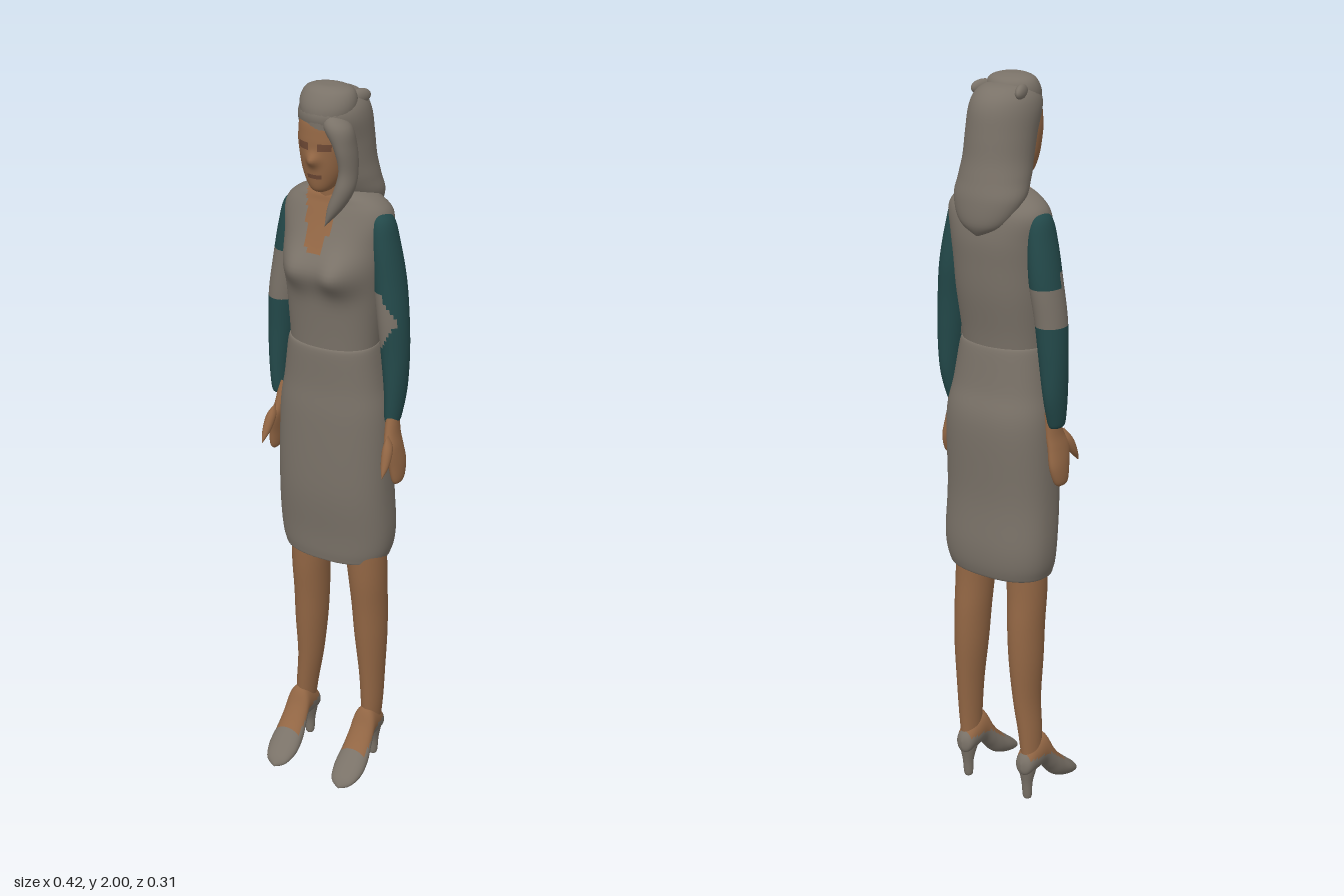
import * as THREE from 'three';

const mat = (name, color) => {
  const m = new THREE.MeshStandardMaterial({ color });
  m.name = name;
  return m;
};

// Smooth interpolation through rows of numbers
function sample(rows, u) {
  const n = rows.length - 1;
  const i = Math.min(Math.floor(u * n), n - 1);
  const t = u * n - i;
  const at = (k) => rows[Math.max(0, Math.min(n, k))];
  return rows[0].map((_, c) => {
    const [a, b, d, e] = [at(i - 1)[c], at(i)[c], at(i + 1)[c], at(i + 2)[c]];
    return 0.5 * (2 * b + (d - a) * t + (2 * a - 5 * b + 4 * d - e) * t * t + (3 * b - a - 3 * d + e) * t * t * t);
  });
}

// Loft of rounded rings. Rows: [position on axis, centre x, half width, low, high]
// low/high bound z when the axis is y, and y when the axis is z.
function loft(name, rows, materials, { axis = 'y', segs = 32, steps = 6, power = 1, pick, deform } = {}) {
  const rings = (rows.length - 1) * steps;
  const pos = [];
  const pts = [];
  const pw = (v) => Math.sign(v) * Math.abs(v) ** power;
  for (let i = 0; i <= rings; i++) {
    const [t, cx, rx, lo, hi] = sample(rows, i / rings);
    for (let j = 0; j < segs; j++) {
      const a = (j / segs) * Math.PI * 2;
      const x = cx + Math.max(rx, 0) * pw(Math.cos(a));
      const s = pw(Math.sin(a)) * (hi - lo) / 2;
      const mid = (lo + hi) / 2;
      const p = axis === 'y' ? new THREE.Vector3(x, t, mid + s) : new THREE.Vector3(x, mid - s, t);
      if (deform) deform(p);
      pts.push(p);
      pos.push(p.x, p.y, p.z);
    }
  }
  const buckets = materials.map(() => []);
  for (let i = 0; i < rings; i++) {
    for (let j = 0; j < segs; j++) {
      const k = (j + 1) % segs;
      const [a, b, c, d] = [i * segs + j, i * segs + k, (i + 1) * segs + j, (i + 1) * segs + k];
      const mid = pts[a].clone().add(pts[d]).multiplyScalar(0.5);
      buckets[pick ? pick(mid) : 0].push(a, c, b, b, c, d);
    }
  }
  const g = new THREE.BufferGeometry();
  g.setAttribute('position', new THREE.Float32BufferAttribute(pos, 3));
  g.setIndex(buckets.flat());
  let start = 0;
  buckets.forEach((b, i) => { g.addGroup(start, b.length, i); start += b.length; });
  g.computeVertexNormals();
  const mesh = new THREE.Mesh(g, materials);
  mesh.name = name;
  return mesh;
}

const bump = (p, x, y, r) => Math.exp(-((p.x - x) ** 2 + (p.y - y) ** 2) / (r * r));

export function createModel() {
  const cloth = mat('warm grey', 0x7a7268);
  const skin = mat('skin', 0x926644);
  const teal = mat('dark teal', 0x23494a);
  const shade = mat('face detail', 0x6d4834);
  const model = new THREE.Group();
  model.name = 'woman';
  const add = (...args) => model.add(loft(...args));

  // Bodice with bust and open V neckline
  add('bodice', [
    [1.28, 0, 0.118, -0.1, 0.068], [1.35, 0, 0.122, -0.108, 0.072], [1.45, 0, 0.13, -0.125, 0.08],
    [1.53, 0, 0.135, -0.132, 0.085], [1.6, 0, 0.14, -0.135, 0.07], [1.66, 0, 0.147, -0.125, 0.045],
    [1.695, 0, 0.125, -0.105, 0.03], [1.72, 0, 0.075, -0.09, 0.018], [1.735, 0, 0, -0.04, -0.03],
  ], [cloth, skin], {
    segs: 80, power: 0.9,
    pick: (p) => (p.z > -0.02 && p.y > 1.58 && Math.abs(p.x + 0.01) < 0.02 + (p.y - 1.58) * 0.25 ? 1 : 0),
    deform: (p) => {
      if (p.z > 0) p.z += 0.034 * bump(p, -0.06, 1.53, 0.052) + 0.046 * bump(p, 0.06, 1.53, 0.052);
    },
  });

  // Pencil skirt with rolled hem
  add('skirt', [
    [0.7, 0, 0.02, -0.05, 0], [0.675, 0, 0.13, -0.115, 0.05], [0.69, 0, 0.152, -0.132, 0.06],
    [0.76, 0, 0.163, -0.14, 0.066], [0.9, 0, 0.16, -0.134, 0.08], [1.1, 0, 0.156, -0.142, 0.08],
    [1.2, 0, 0.14, -0.122, 0.074], [1.3, 0, 0.125, -0.108, 0.074], [1.315, 0, 0.118, -0.1, 0.066],
  ], [cloth], { segs: 48, power: 0.85 });

  add('neck', [
    [1.62, -0.005, 0.05, -0.08, 0.03], [1.7, -0.005, 0.045, -0.08, 0.025], [1.8, -0.005, 0.045, -0.08, 0.03],
  ], [skin]);

  // Face with nose, eyes and mouth
  add('face', [
    [1.728, -0.005, 0, 0.035, 0.045], [1.742, -0.005, 0.028, 0, 0.073], [1.78, -0.005, 0.05, -0.02, 0.083],
    [1.83, -0.005, 0.06, -0.02, 0.088], [1.88, -0.005, 0.064, -0.02, 0.088], [1.93, -0.005, 0.055, -0.02, 0.075],
    [1.95, -0.005, 0, 0, 0.02],
  ], [skin, shade], {
    segs: 64, steps: 8,
    pick: (p) => {
      const x = Math.abs(p.x + 0.005);
      const eye = p.y > 1.848 && p.y < 1.866 && x > 0.014 && x < 0.044;
      const mouth = p.y > 1.773 && p.y < 1.786 && x < 0.02;
      return p.z > 0.04 && (eye || mouth) ? 1 : 0;
    },
    deform: (p) => { if (p.z > 0.04) p.z += 0.018 * bump(p, -0.005, 1.825, 0.016); },
  });

  // Long hair, crown roll with two back points, and front lock
  add('hair', [
    [1.605, 0, 0, -0.13, -0.11], [1.64, 0, 0.065, -0.152, -0.07], [1.7, 0, 0.1, -0.152, -0.015],
    [1.75, 0, 0.098, -0.142, 0.02], [1.8, 0, 0.092, -0.132, 0.04], [1.86, 0, 0.09, -0.126, 0.06],
    [1.92, 0, 0.088, -0.118, 0.086], [1.955, 0, 0.076, -0.1, 0.078], [1.975, 0, 0.05, -0.07, 0.05],
    [1.982, 0, 0, -0.02, -0.01],
  ], [cloth]);
  add('crownRoll', [
    [1.9, 0, 0.06, -0.04, 0.085], [1.95, 0, 0.073, -0.05, 0.084], [1.985, 0, 0.064, -0.04, 0.066],
    [1.998, 0, 0.035, -0.01, 0.045], [2.0, 0, 0, 0.015, 0.025],
  ], [cloth]);
  for (const s of [-1, 1]) {
    const point = new THREE.Mesh(new THREE.SphereGeometry(1, 16, 12), cloth);
    point.scale.set(0.014, 0.02, 0.035);
    point.position.set(s * 0.06, 1.962, -0.03);
    point.rotation.y = -s * 0.35;
    point.name = 'hairPoint';
    model.add(point);
  }
  add('frontLock', [
    [1.65, 0.018, 0, 0.066, 0.072], [1.7, 0.042, 0.02, 0.035, 0.08], [1.75, 0.063, 0.025, 0.02, 0.08],
    [1.8, 0.07, 0.022, 0.01, 0.076], [1.86, 0.064, 0.026, 0.01, 0.088], [1.915, 0.045, 0.034, 0.02, 0.092],
    [1.95, 0.025, 0, 0.04, 0.06],
  ], [cloth]);

  for (const s of [-1, 1]) {
    const left = s > 0;
    const side = left ? 'left' : 'right';
    // Place rows on one side, with small pose offsets
    const place = (rows, dx, dz) => rows.map(([t, x, r, lo, hi]) => [t, s * (x + dx), r, lo + dz, hi + dz]);
    const dz = left ? 0 : -0.02;
    const hx = left ? 0 : -0.02;

    // Sleeve with a grey patch at the elbow
    add(side + 'Sleeve', place([
      [1.11, 0.174, 0.014, -0.03, 0.012], [1.125, 0.175, 0.021, -0.038, 0.018], [1.2, 0.177, 0.028, -0.058, 0.02],
      [1.3, 0.173, 0.036, -0.065, 0.02], [1.4, 0.165, 0.04, -0.07, 0.024], [1.5, 0.152, 0.04, -0.078, 0.022],
      [1.6, 0.139, 0.034, -0.072, 0.02], [1.66, 0.13, 0.026, -0.06, 0.01], [1.685, 0.12, 0, -0.03, -0.02],
    ], 0, dz), [teal, cloth], {
      steps: 8,
      pick: (p) => (left
        ? p.z > -0.03 && p.y > 1.29 && p.y < 1.47 && p.x < 0.195 - Math.abs(p.y - 1.4) * 0.6
        : p.y > 1.39 && p.y < (p.z > -0.04 ? 1.53 : 1.49)) ? 1 : 0,
    });
    add(side + 'Hand', place([
      [0.942, 0.2, 0, 0, 0.015], [0.955, 0.2, 0.013, -0.02, 0.03], [1.0, 0.196, 0.018, -0.035, 0.04],
      [1.05, 0.188, 0.018, -0.032, 0.05], [1.09, 0.18, 0.017, -0.03, 0.033], [1.15, 0.176, 0.016, -0.03, 0.012],
    ], hx, dz), [skin]);
    add(side + 'Thumb', place([
      [0.99, 0.196, 0, 0.086, 0.09], [1.02, 0.194, 0.011, 0.055, 0.08], [1.06, 0.19, 0.013, 0.03, 0.063],
      [1.09, 0.184, 0, 0.03, 0.04],
    ], hx, dz), [skin], { segs: 16 });

    // Leg
    const lx = left ? 0 : -0.02;
    add(side + 'Leg', [
      [0.12, 0.106, 0.024, -0.072, 0.0], [0.2, 0.109 + lx * 0.5, 0.029, -0.075, 0.004],
      [0.3, 0.108 + lx, 0.034, -0.082, 0.01], [0.42, 0.104 + lx, 0.043, -0.09, 0.02],
      [0.52, 0.101 + lx, 0.047, -0.09, 0.027], [0.62, 0.098 + lx, 0.052, -0.083, 0.036],
      [0.75, 0.09 + lx, 0.06, -0.08, 0.04],
    ].map(([t, x, ...r]) => [t, s * x, ...r]), [skin]);

    // Court shoe with bare instep, and its heel
    add(side + 'Shoe', [
      [-0.086, 0.104, 0, 0.1, 0.115], [-0.075, 0.104, 0.024, 0.08, 0.14], [-0.04, 0.105, 0.031, 0.08, 0.175],
      [0, 0.106, 0.034, 0.082, 0.188], [0.03, 0.106, 0.038, 0.055, 0.14], [0.06, 0.106, 0.043, 0.022, 0.102],
      [0.1, 0.106, 0.044, 0.008, 0.066], [0.138, 0.105, 0.03, 0.004, 0.034], [0.154, 0.104, 0, 0.006, 0.012],
    ].map(([t, x, ...r]) => [t, s * x, ...r]), [cloth, skin], {
      axis: 'z',
      pick: (p) => (p.z > -0.07 && p.z < 0.07 && p.y > 0.13 - Math.max(0, p.z) * 0.75 ? 1 : 0),
    });
    add(side + 'Heel', [
      [0, s * 0.104, 0, -0.056, -0.052], [0.004, s * 0.104, 0.012, -0.066, -0.042],
      [0.05, s * 0.104, 0.015, -0.072, -0.038], [0.1, s * 0.104, 0.024, -0.082, -0.02],
      [0.13, s * 0.104, 0.024, -0.08, -0.02],
    ], [cloth], { segs: 16 });
  }
  return model;
}
